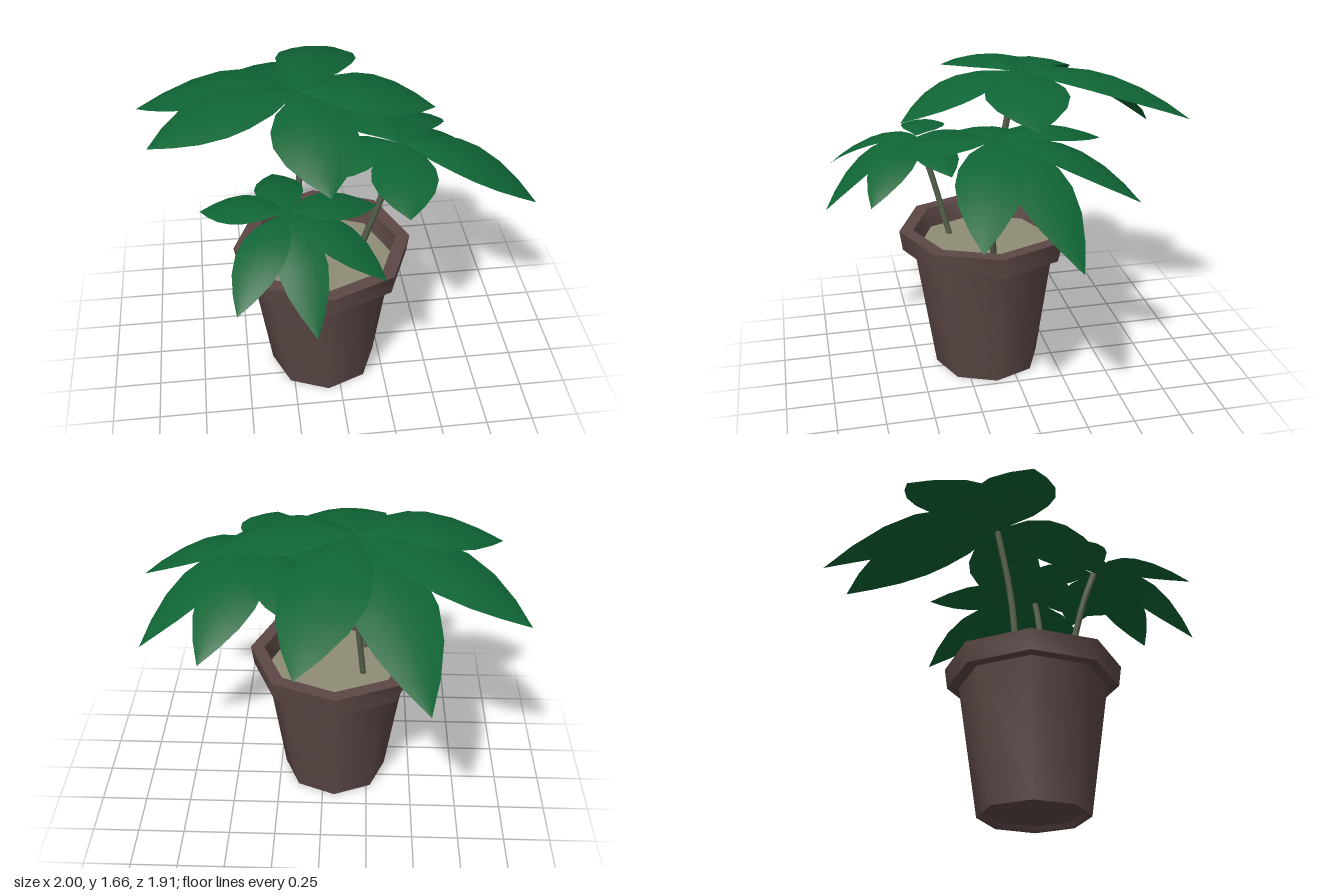
import * as THREE from 'three';
import { toCreasedNormals } from 'three/addons/utils/BufferGeometryUtils.js';

const material = (name, color, side = THREE.FrontSide) => {
  const m = new THREE.MeshStandardMaterial({ color, side });
  m.name = name;
  return m;
};

// Leaf outline: position along the length, relative half width
const OUTLINE = [[0, 0.04], [0.1, 0.32], [0.25, 0.74], [0.42, 0.97], [0.56, 1], [0.72, 0.82], [0.87, 0.45], [1, 0]];
const COLUMNS = [-1, -0.5, 0, 0.5, 1];

// An arched leaf from base to tip, cambered across its width
function leafGeometry(base, tip, width) {
  const along = tip.clone().sub(base).setY(0);
  const length = along.length();
  const side = new THREE.Vector3(-along.z, 0, along.x).divideScalar(length);
  const drop = base.y - tip.y;
  const lift = 0.25 * (length - drop);
  const n = COLUMNS.length;
  const points = [], index = [];
  OUTLINE.forEach(([t, w], i) => {
    for (const c of COLUMNS) {
      const half = w * width / 2;
      const p = base.clone().addScaledVector(along, t).addScaledVector(side, c * half);
      p.y += lift * t - (lift + drop) * t * t - 0.17 * half * c * c;
      points.push(p);
    }
    if (i === 0) return;
    for (let j = 0; j < n - 1; j++) {
      const a = (i - 1) * n + j;
      index.push(a, a + 1, a + n + 1, a, a + n + 1, a + n);
    }
  });
  const g = new THREE.BufferGeometry().setFromPoints(points);
  g.setIndex(index);
  g.computeVertexNormals();
  return g;
}

// Stem paths run from soil to whorl; leaf tips are listed from lowest layer to highest
const TALL = {
  name: 'tallCluster',
  width: 0.42,
  stem: [[-0.22, 0.68, 0.04], [-0.17, 1.2, 0], [-0.155, 1.625, -0.075]],
  tips: [[-1, 1.36, -0.46], [-0.51, 1.2, -0.95], [0.1, 1.39, -0.96], [-0.07, 1.42, 0.55], [-0.915, 1.49, 0.14], [0.53, 1.52, -0.03]],
};
const MIDDLE = {
  name: 'middleCluster',
  width: 0.32,
  stem: [[0.115, 0.68, 0.105], [0.26, 1.2, 0.15], [0.315, 1.42, 0.125]],
  tips: [[-0.18, 1.31, 0.2], [0.59, 1.15, -0.53], [0.96, 0.98, -0.14], [0.08, 1.32, -0.47], [0.28, 1.36, 0.675], [0.995, 1.145, 0.33]],
};
const LOW = {
  name: 'lowCluster',
  width: 0.24,
  stem: [[-0.22, 0.68, 0.28], [-0.27, 1.1, 0.385], [-0.275, 1.27, 0.445]],
  tips: [[-0.31, 1.2, 0], [0.18, 1.2, 0.33], [0.17, 1.06, 0.74], [-0.54, 1.06, 0.905], [-0.18, 0.93, 0.955], [-0.685, 1.23, 0.32]],
};

// A bent stem topped by a whorl of leaves
function createCluster({ name, width, stem, tips }, stemTone, leafTone) {
  const cluster = new THREE.Group();
  cluster.name = name;
  const path = new THREE.CatmullRomCurve3(stem.map((p) => new THREE.Vector3(...p)));
  const stalk = new THREE.Mesh(new THREE.TubeGeometry(path, 8, 0.018, 6), stemTone);
  stalk.name = 'stem';
  cluster.add(stalk);
  tips.forEach((tip, i) => {
    const base = path.getPoint(1);
    base.y += 0.0025 * i;
    const leaf = new THREE.Mesh(leafGeometry(base, new THREE.Vector3(...tip), width), leafTone);
    leaf.name = 'leaf';
    cluster.add(leaf);
  });
  return cluster;
}

export function createModel() {
  const model = new THREE.Group();
  model.name = 'pottedPlant';
  const clay = material('brown clay', 0x5c4846);
  const soilTone = material('pale soil', 0x8f8d76);
  const stemTone = material('stem green', 0x56604a);
  const leafTone = material('leaf green', 0x0f6535, THREE.DoubleSide);

  // Eight-sided pot with a thick rim, hollow inside and recessed underneath
  const pot = new THREE.Group();
  pot.name = 'pot';
  pot.position.set(-0.067, 0, 0.112);
  const profile = [
    [0, 0.025], [0.25, 0.025], [0.265, 0], [0.29, 0], [0.393, 0.71], [0.455, 0.71],
    [0.47, 0.82], [0.395, 0.82], [0.365, 0.68],
  ].map(([r, y]) => new THREE.Vector2(r, y));
  const shell = new THREE.Mesh(toCreasedNormals(new THREE.LatheGeometry(profile, 8), 0.9), clay);
  shell.name = 'potShell';
  const soil = new THREE.Mesh(new THREE.CircleGeometry(0.375, 8).rotateX(-Math.PI / 2), soilTone);
  soil.name = 'soil';
  soil.position.y = 0.715;
  pot.add(shell, soil);
  model.add(pot);

  for (const cluster of [TALL, MIDDLE, LOW]) model.add(createCluster(cluster, stemTone, leafTone));
  return model;
}
